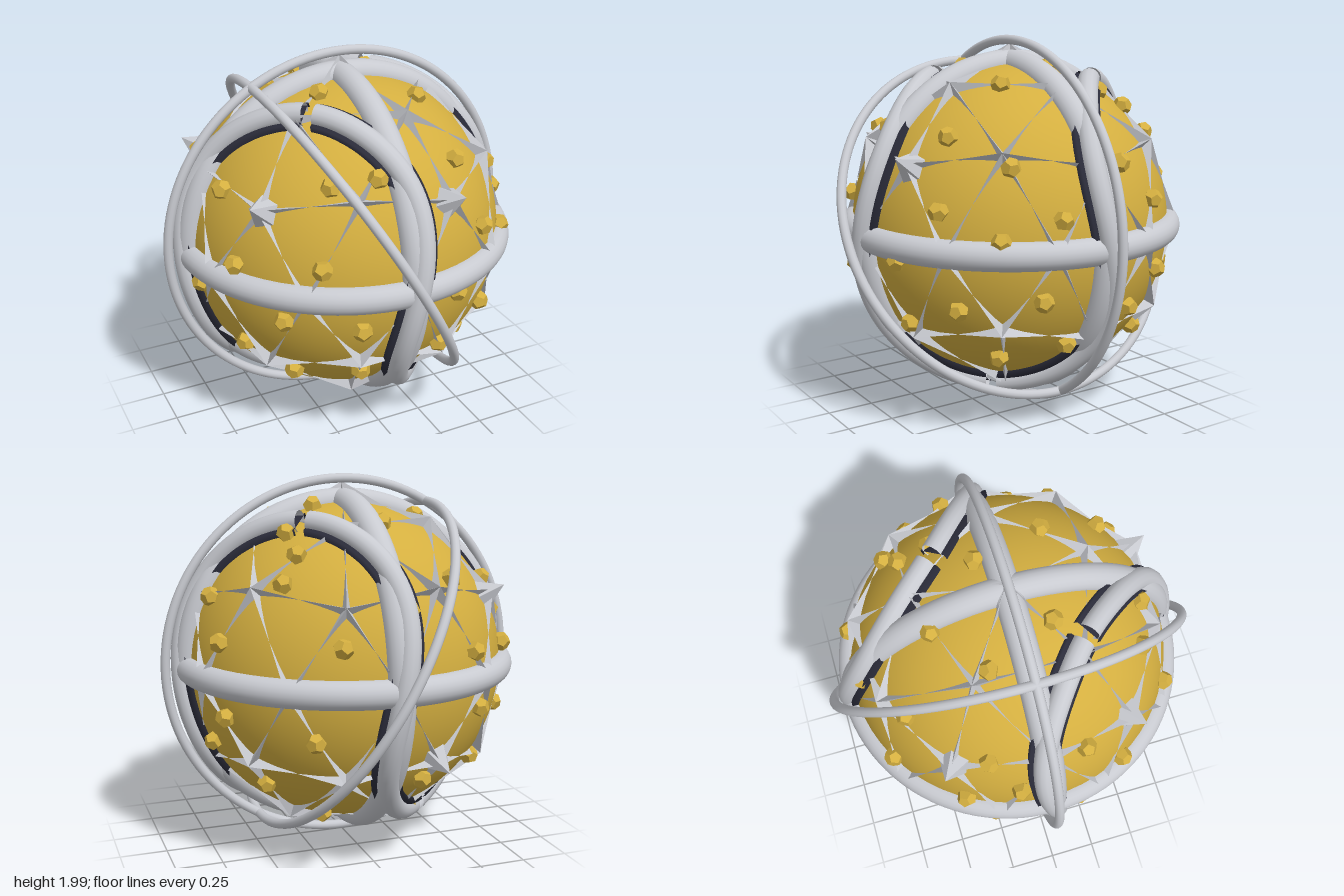
import * as THREE from 'three';

const silver = new THREE.MeshStandardMaterial({ color: 0xc8cad0, side: THREE.DoubleSide });
silver.name = 'silver';
const gold = new THREE.MeshStandardMaterial({ color: 0xd4af40 });
gold.name = 'gold';
const dark = new THREE.MeshStandardMaterial({ color: 0x2b2c3a, side: THREE.DoubleSide });
dark.name = 'dark';

const RAD = Math.PI / 180;
const R = 0.855; // globe radius
const Z = new THREE.Vector3(0, 0, 1);

// unit direction from azimuth (front to +x) and latitude, in degrees
function dir(az, lat) {
  const c = Math.cos(lat * RAD);
  return new THREE.Vector3(Math.sin(az * RAD) * c, Math.sin(lat * RAD), Math.cos(az * RAD) * c);
}

function trianglesToGeometry(points) {
  const g = new THREE.BufferGeometry().setFromPoints(points);
  g.computeVertexNormals();
  return g;
}

// winding seam curve around the globe
class SeamCurve extends THREE.Curve {
  constructor(from, to, radius) {
    super();
    Object.assign(this, { from, to, radius });
  }
  getPoint(u, target = new THREE.Vector3()) {
    const t = this.from + (this.to - this.from) * u;
    const az = -(t - 19.9 * Math.sin(4 * t * RAD));
    return target.copy(dir(az, 61 * Math.sin(2 * t * RAD))).multiplyScalar(this.radius);
  }
}

// flat band lying beneath the seam: [sideways, radius] cross-section
function bandGeometry(curve, steps) {
  const section = [[-0.078, 0.84], [-0.075, 0.885], [0.075, 0.885], [0.078, 0.84]];
  const pos = [], index = [];
  for (let i = 0; i <= steps; i++) {
    const p = curve.getPoint(i / steps).normalize();
    const side = new THREE.Vector3().crossVectors(p, curve.getTangent(i / steps)).normalize();
    for (const [s, r] of section) {
      const q = p.clone().multiplyScalar(r).addScaledVector(side, s);
      pos.push(q.x, q.y, q.z);
    }
    if (i === steps) continue;
    for (let j = 0; j < 3; j++) {
      const a = i * 4 + j, b = a + 4;
      index.push(a, b, a + 1, a + 1, b, b + 1);
    }
  }
  const g = new THREE.BufferGeometry();
  g.setAttribute('position', new THREE.Float32BufferAttribute(pos, 3));
  g.setIndex(index);
  g.computeVertexNormals();
  return g;
}

// nodes of a once-divided icosahedron with one node at each pole
function starNodes() {
  const base = [dir(0, 90), dir(0, -90)];
  for (let k = 0; k < 5; k++) base.push(dir(18 + 72 * k, 26.565), dir(54 + 72 * k, -26.565));
  const nodes = [...base];
  base.forEach((a, i) => base.slice(i + 1).forEach((b) => {
    if (a.distanceTo(b) < 1.1) nodes.push(a.clone().add(b).normalize());
  }));
  return nodes;
}

// thin-armed star whose arms reach half way to each neighbour
function starGeometry(v, nodes, tipRadius) {
  const u = new THREE.Vector3(0.31, 0.52, 0.8).cross(v).normalize();
  const w = new THREE.Vector3().crossVectors(v, u);
  const arms = nodes
    .filter((n) => n !== v && n.distanceTo(v) < 0.66)
    .map((n) => ({
      angle: Math.atan2(n.dot(w), n.dot(u)),
      end: n.clone().add(v).normalize().multiplyScalar(R + 0.004),
    }))
    .sort((a, b) => a.angle - b.angle);
  const tip = v.clone().multiplyScalar(tipRadius);
  const inner = arms.map((arm, i) => {
    let next = arms[(i + 1) % arms.length].angle;
    if (next < arm.angle) next += 2 * Math.PI;
    const m = (arm.angle + next) / 2;
    return v.clone().multiplyScalar(R - 0.006)
      .addScaledVector(u, 0.032 * Math.cos(m)).addScaledVector(w, 0.032 * Math.sin(m));
  });
  const tri = [];
  arms.forEach((arm, i) => {
    const next = arms[(i + 1) % arms.length];
    tri.push(tip, arm.end, inner[i], tip, inner[i], next.end);
  });
  return trianglesToGeometry(tri);
}

// azimuth and height of each stud
const STUDS = [
  [118, 0.84], [-49, 0.83], [-170, 0.77], [50, 0.77], [-119, 0.78], [139, 0.63], [126, 0.72],
  [93, 0.65], [-10, 0.545], [31, 0.535], [-29, 0.52], [57, 0.41], [-75, 0.42], [101, 0.4],
  [137, 0.5], [-113, 0.45], [-150, 0.5], [-31, 0.16], [33, 0.2], [74, 0.165], [115, 0.2],
  [161, 0.22], [-62, 0.11], [-149, 0.15], [-175, 0.38], [-120, 0.12], [54, 0.07], [-101, 0.25],
  [17, -0.07], [-80, -0.09], [-44, -0.14], [-18, -0.18], [118, -0.17], [68, -0.235], [39, -0.29],
  [105, -0.34], [152, -0.245], [-63, -0.37], [16, -0.41], [178, -0.2], [-110, -0.25],
  [-145, -0.15], [-165, -0.5], [-130, -0.48], [-17, -0.49], [-45, -0.52], [52, -0.57],
  [80, -0.5], [127, -0.53], [-88, -0.73], [13, -0.76], [85, -0.78], [148, -0.73], [-150, -0.74],
];

export function createModel() {
  const model = new THREE.Group();
  const globe = new THREE.Group();
  globe.name = 'ornateGlobe';
  globe.position.y = 1;
  model.add(globe);

  function add(name, geometry, material, parent = globe) {
    const m = new THREE.Mesh(geometry, material);
    m.name = name;
    parent.add(m);
    return m;
  }
  function group(name) {
    const g = new THREE.Group();
    g.name = name;
    globe.add(g);
    return g;
  }

  add('core', new THREE.SphereGeometry(R, 64, 40), gold);

  // three thick bands at right angles
  const band = new THREE.TorusGeometry(0.85, 0.072, 20, 96);
  add('equatorBand', band, silver).rotation.x = Math.PI / 2;
  add('frontBackBand', band, silver).rotation.y = Math.PI / 2;
  add('sideBand', band, silver);

  // two thin outer hoops, one upright and one tilted
  const hoop = new THREE.TorusGeometry(0.972, 0.025, 12, 128);
  add('uprightHoop', hoop, silver);
  add('tiltedHoop', hoop, silver).rotation.set(0, Math.PI / 2, 30 * RAD, 'ZYX');

  // winding seam in four pieces with a notch at each crest
  const seam = group('seam');
  for (let k = 0; k < 4; k++) {
    const from = -45 + 90 * k + 1.6, to = 45 + 90 * k - 1.6;
    add('seamTube', new THREE.TubeGeometry(new SeamCurve(from, to, 0.885), 80, 0.057, 14), silver, seam);
    add('seamBand', bandGeometry(new SeamCurve(from, to, 0.885), 80), dark, seam);
  }

  // stars joined into a net
  const stars = group('stars');
  const nodes = starNodes();
  nodes.forEach((v, i) => {
    add('star', starGeometry(v, nodes, i < 2 ? 0.955 : 0.915), silver, stars);
  });

  // large spikes on a few of the stars
  for (const [az, lat] of [[18, 26.565], [-54, 26.565], [-126, 26.565], [-162, -26.565]]) {
    const d = dir(az, lat);
    const cone = new THREE.ConeGeometry(0.09, 0.14, 5).toNonIndexed();
    cone.computeVertexNormals();
    const spike = add('spike', cone, silver, stars);
    spike.quaternion.setFromUnitVectors(new THREE.Vector3(0, 1, 0), d);
    spike.position.copy(d).multiplyScalar(0.91);
  }

  // faceted studs
  const studs = group('studs');
  const studShape = new THREE.DodecahedronGeometry(0.052);
  studShape.rotateX(Math.atan(2 / (1 + Math.sqrt(5))));
  for (const [az, y] of STUDS) {
    const d = dir(az, Math.asin(y / 0.87) / RAD);
    const stud = add('stud', studShape, gold, studs);
    stud.quaternion.setFromUnitVectors(Z, d);
    stud.position.copy(d).multiplyScalar(0.868);
  }

  return model;
}
